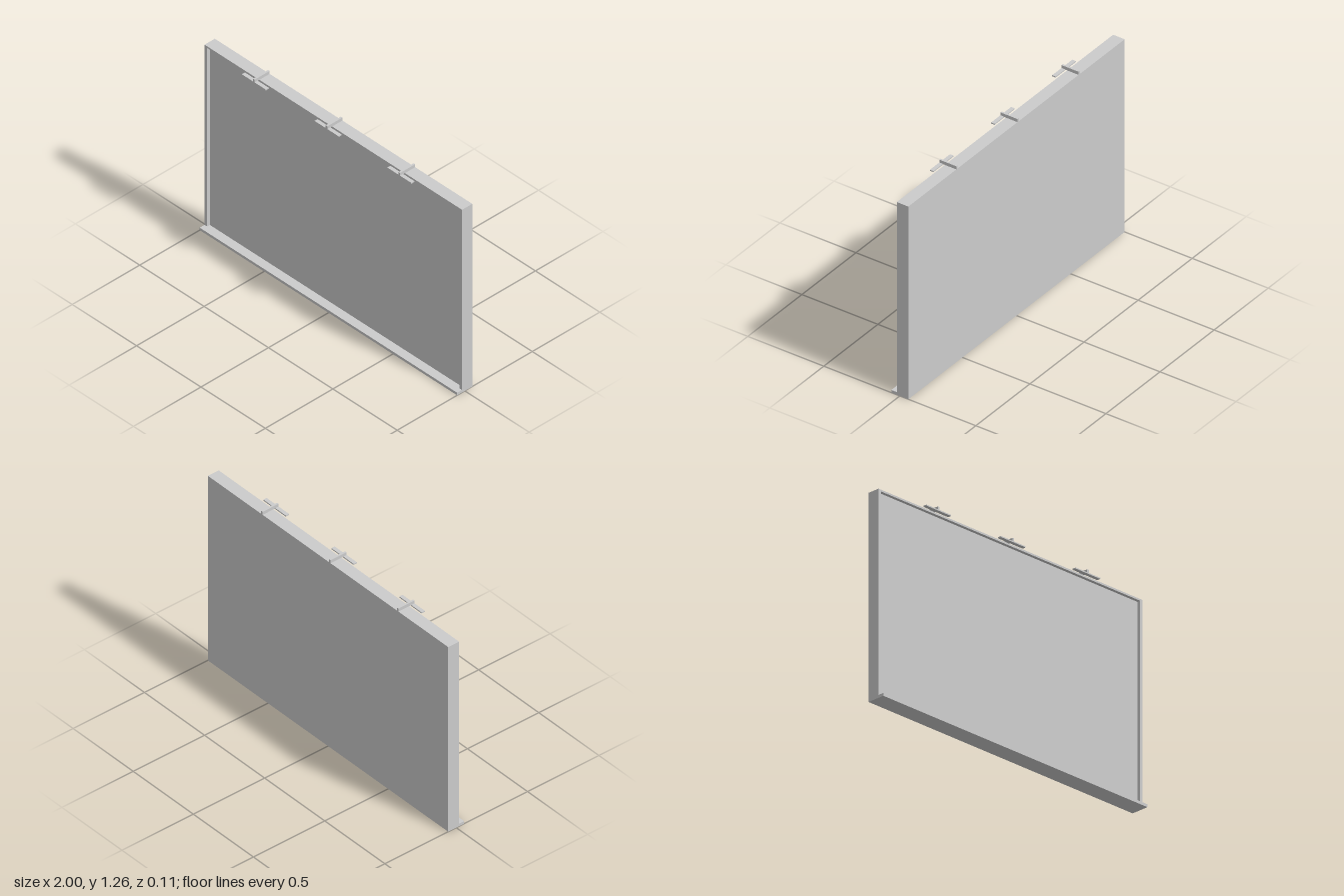
import * as THREE from 'three';

const material = new THREE.MeshStandardMaterial({ color: 0xcccccc, flatShading: true });

// Box given by its minimum and maximum corners
function box(name, [x0, y0, z0], [x1, y1, z1]) {
  const mesh = new THREE.Mesh(new THREE.BoxGeometry(x1 - x0, y1 - y0, z1 - z0), material);
  mesh.name = name;
  mesh.position.set((x0 + x1) / 2, (y0 + y1) / 2, (z0 + z1) / 2);
  return mesh;
}

export function createModel() {
  const group = new THREE.Group();
  group.name = 'whiteboard';
  const back = -0.056, front = 0.02, tip = 0.056, top = 1.237;

  // Frame: a rectangle with an opening, extruded through the full depth
  const outline = new THREE.Shape();
  outline.moveTo(-1, 0).lineTo(1, 0).lineTo(1, top).lineTo(-1, top).closePath();
  const opening = new THREE.Path();
  opening.moveTo(-0.98, 0.017).lineTo(-0.98, 1.226).lineTo(0.98, 1.226).lineTo(0.98, 0.017).closePath();
  outline.holes.push(opening);
  const frame = new THREE.Mesh(
    new THREE.ExtrudeGeometry(outline, { depth: front - back, bevelEnabled: false }), material);
  frame.name = 'frame';
  frame.position.z = back;
  group.add(frame);

  // Recessed writing surface, flush with the frame at the back
  group.add(box('writingSurface', [-0.98, 0.017, back], [0.98, 1.226, 0]));

  // Pen ledge along the bottom
  group.add(box('penLedge', [-1, 0, front], [1, 0.017, tip]));

  // Three lamps, each a bar hung from an arm over the top edge
  for (const x of [-0.58, -0.015, 0.55]) {
    const lamp = new THREE.Group();
    lamp.name = 'lamp';
    lamp.position.x = x;
    lamp.add(box('lampArm', [-0.006, top, back], [0.006, 1.257, tip]));
    lamp.add(box('lampBar', [-0.093, 1.232, 0.033], [0.093, 1.239, tip]));
    group.add(lamp);
  }
  return group;
}
